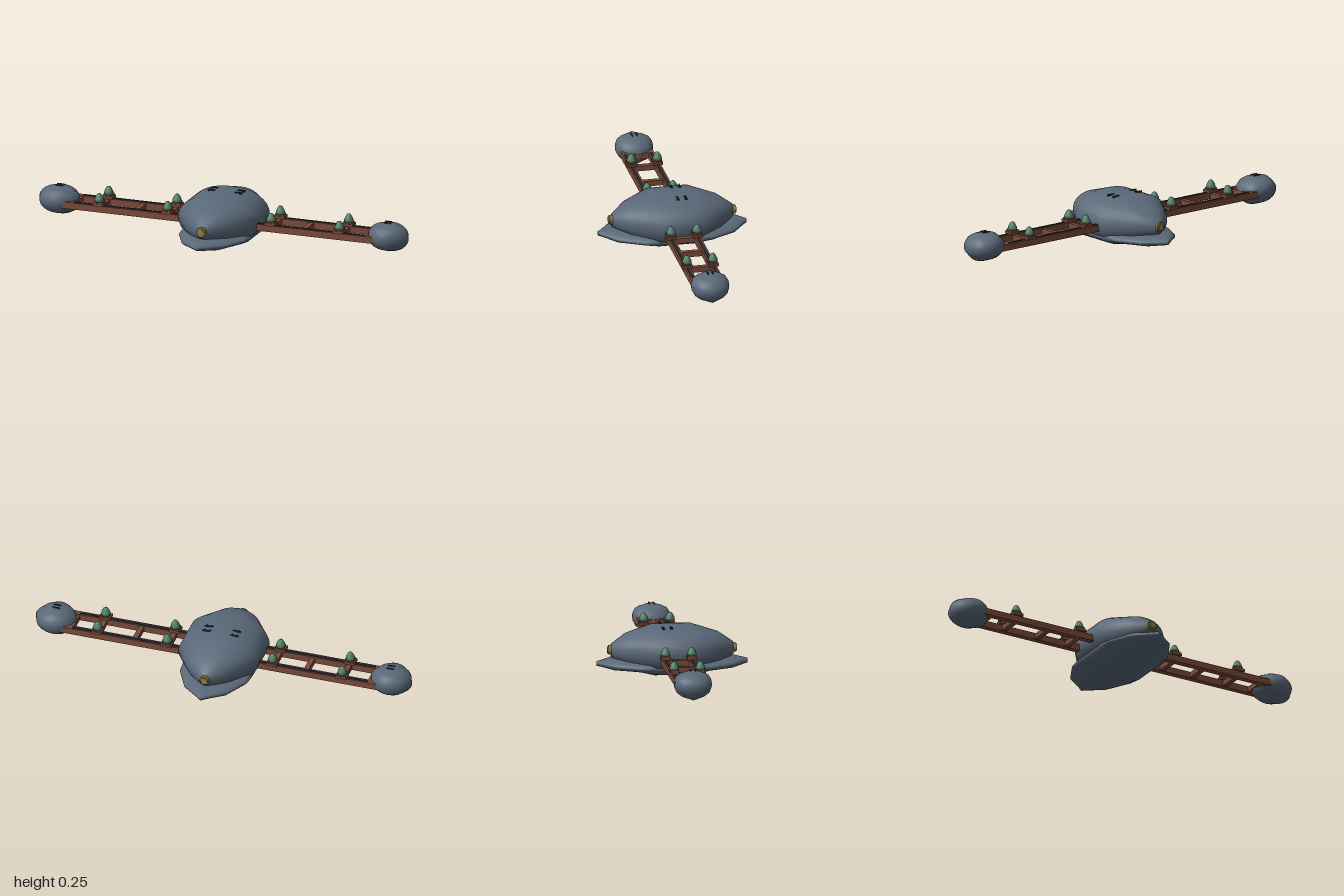
import * as THREE from 'three';

const mat = (name, color) => {
  const m = new THREE.MeshStandardMaterial({ color });
  m.name = name;
  return m;
};

// Loft of rounded sections along z; each section is [z, centreY, halfWidth, halfHeight].
function loft(sections, sides = 32, power = 2) {
  const pos = [], idx = [];
  const squash = v => Math.sign(v) * Math.abs(v) ** (2 / power);
  for (const [z, cy, rx, ry] of sections) {
    for (let j = 0; j < sides; j++) {
      const a = (j / sides) * Math.PI * 2;
      pos.push(rx * squash(Math.cos(a)), cy + ry * squash(Math.sin(a)), z);
    }
  }
  for (let i = 0; i < sections.length - 1; i++) {
    for (let j = 0; j < sides; j++) {
      const k = (j + 1) % sides;
      const a = i * sides + j, b = i * sides + k, c = b + sides, d = a + sides;
      idx.push(a, b, c, a, c, d);
    }
  }
  const g = new THREE.BufferGeometry();
  g.setAttribute('position', new THREE.Float32BufferAttribute(pos, 3));
  g.setIndex(idx);
  g.computeVertexNormals();
  return g;
}

// Mirror a list of sections (given from the middle outwards) to both ends.
function bothEnds(half) {
  const back = half.map(([z, ...r]) => [-z, ...r]).reverse();
  return [...back, ...half.filter(s => s[0] > 0)];
}

export function createModel() {
  const root = new THREE.Group();
  root.name = 'station';
  const hullMat = mat('slate hull', 0x5a6878);
  const beamMat = mat('rust brown', 0x7a4a3a);
  const domeMat = mat('dome green', 0x4f8068);
  const brassMat = mat('brass', 0x8c8148);
  const darkMat = mat('dark trim', 0x22282c);

  const add = (name, geometry, material, x = 0, y = 0, z = 0, parent = root) => {
    const m = new THREE.Mesh(geometry, material);
    m.name = name;
    m.position.set(x, y, z);
    parent.add(m);
    return m;
  };
  const box = (name, material, w, h, d, x, y, z, parent) =>
    add(name, new THREE.BoxGeometry(w, h, d), material, x, y, z, parent);

  // Main body
  add('mainHull', loft(bothEnds([
    [0.1, 0.125, 0.21, 0.125],
    [0.235, 0.128, 0.115, 0.08],
    [0.31, 0.124, 0.032, 0.034],
    [0.31, 0.124, 0, 0],
  ]), 32, 2.15), hullMat);

  // Broad pointed keel below the body
  add('keel', loft(bothEnds([
    [0.1, 0.056, 0.185, 0.055],
    [0.175, 0.055, 0.178, 0.033],
    [0.3, 0.057, 0.115, 0.029],
    [0.384, 0.058, 0.006, 0.012],
    [0.384, 0.058, 0, 0],
  ])), hullMat);

  // Brass ports at both ends
  for (const s of [1, -1]) {
    const rim = add('portRim', new THREE.CylinderGeometry(0.025, 0.025, 0.02, 16), brassMat, 0, 0.127, s * 0.314);
    const cap = add('portCap', new THREE.CylinderGeometry(0.018, 0.018, 0.01, 16), brassMat, 0, 0.127, s * 0.325);
    rim.rotation.x = cap.rotation.x = Math.PI / 2;
  }

  // Deck markings on top of the body
  for (const s of [1, -1]) {
    for (const z of [-0.057, -0.016]) {
      box('deckBar', darkMat, 0.042, 0.008, 0.004, s * 0.073, 0.246, z);
      for (const x of [0.06, 0.085]) box('deckPost', darkMat, 0.005, 0.009, 0.012, s * x, 0.245, z + 0.004);
    }
  }

  // Stepped pedestal and dome for each emplacement
  const domeProfile = [[0, 0], [0.025, 0], [0.023, 0.014], [0.014, 0.033], [0.008, 0.04], [0, 0.042]]
    .map(p => new THREE.Vector2(...p));
  const domeGeo = new THREE.LatheGeometry(domeProfile, 12);

  // Two identical arms, each built towards +x
  for (const s of [1, -1]) {
    const arm = new THREE.Group();
    arm.name = s > 0 ? 'leftArm' : 'rightArm';
    if (s < 0) arm.rotation.y = Math.PI;
    root.add(arm);

    for (const z of [0.067, -0.067]) {
      box('rail', beamMat, 0.69, 0.034, 0.03, 0.505, 0.107, z, arm);
      box('railTrim', darkMat, 0.6, 0.004, 0.014, 0.485, 0.125, z, arm);
      for (const x of [0.28, 0.65]) {
        box('pedestalFoot', beamMat, 0.058, 0.014, 0.05, x, 0.131, z, arm);
        box('pedestalTop', beamMat, 0.044, 0.01, 0.042, x, 0.142, z, arm);
        add('dome', domeGeo, domeMat, x, 0.145, z, arm);
      }
    }
    for (const x of [0.28, 0.455, 0.65, 0.795]) {
      box('crossBeam', beamMat, 0.026, 0.028, 0.12, x, 0.107, 0, arm);
    }

    // End pod
    add('endPod', loft(bothEnds([
      [0, 0.112, 0.11, 0.077],
      [0.055, 0.114, 0.088, 0.06],
      [0.08, 0.117, 0.06, 0.045],
      [0.093, 0.118, 0.028, 0.022],
      [0.093, 0.118, 0, 0],
    ])), hullMat, 0.89, 0, 0, arm);
    for (const z of [0.012, -0.012]) {
      box('podBar', darkMat, 0.04, 0.006, 0.004, 0.888, 0.187, z, arm);
      box('podPost', darkMat, 0.005, 0.007, 0.01, 0.888, 0.187, z, arm);
    }
  }
  return root;
}
